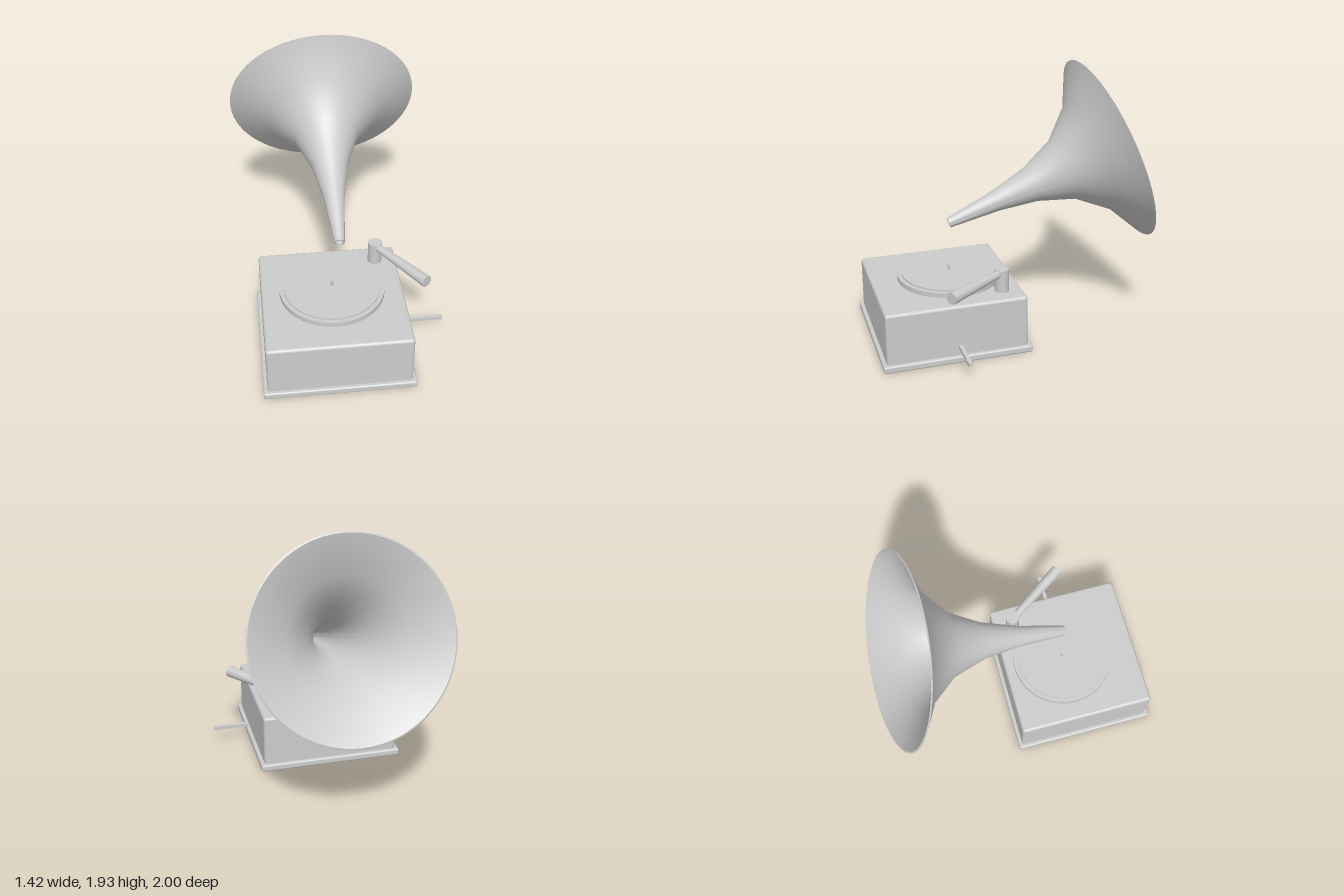
import * as THREE from 'three';
import { toCreasedNormals } from 'three/addons/utils/BufferGeometryUtils.js';
import { RoundedBoxGeometry } from 'three/addons/geometries/RoundedBoxGeometry.js';

export function createModel() {
  const model = new THREE.Group();
  const grey = new THREE.MeshStandardMaterial({ color: 0xcccccc });
  grey.name = 'plain grey';

  function add(name, geometry, x, y, z) {
    const mesh = new THREE.Mesh(geometry, grey);
    mesh.name = name;
    mesh.position.set(x, y, z);
    model.add(mesh);
    return mesh;
  }

  // upright disc or post standing on a given height
  function post(name, radius, bottom, top, x, z, sides = 64) {
    const h = top - bottom;
    return add(name, new THREE.CylinderGeometry(radius, radius, h, sides), x, bottom + h / 2, z);
  }

  // cabinet
  const cx = -0.082, cz = 0.475;
  add('plinth', new RoundedBoxGeometry(1.05, 0.05, 1.05, 3, 0.013), cx, 0.025, cz);
  add('cabinet', new RoundedBoxGeometry(0.996, 0.4, 0.996, 4, 0.022), cx, 0.22, cz);

  // turntable
  const tx = -0.083, tz = 0.416;
  post('platter', 0.369, 0.41, 0.456, tx, tz);
  post('record', 0.339, 0.45, 0.467, tx, tz);
  post('spindle', 0.01, 0.46, 0.506, tx, tz, 16);

  // tone arm: post and a tapered tube widening towards its free end
  post('armPost', 0.05, 0.41, 0.583, 0.262, 0.122, 32);
  const from = new THREE.Vector3(0.262, 0.554, 0.122);
  const to = new THREE.Vector3(0.56, 0.557, 0.555);
  const span = to.clone().sub(from);
  const mid = from.clone().add(to).multiplyScalar(0.5);
  const arm = add('toneArm', new THREE.CylinderGeometry(0.043, 0.026, span.length(), 32), mid.x, mid.y, mid.z);
  arm.quaternion.setFromUnitVectors(new THREE.Vector3(0, 1, 0), span.normalize());

  // crank rod
  add('crank', new THREE.BoxGeometry(0.26, 0.027, 0.027), 0.579, 0.132, 0.471);

  // hollow flared horn: [radius, distance along the axis]
  const outer = [[0.036, 0], [0.075, 0.37], [0.129, 0.642], [0.229, 0.895], [0.42, 1.113], [0.684, 1.262]];
  const inner = [[0.672, 1.268], [0.408, 1.121], [0.218, 0.902], [0.119, 0.646], [0.066, 0.371], [0.026, 0]];
  const profile = [...outer, ...inner, outer[0]].map(([r, t]) => new THREE.Vector2(r, t));
  const horn = add('horn', toCreasedNormals(new THREE.LatheGeometry(profile, 96), 0.6), -0.03, 0.849, 0.421);
  horn.quaternion.setFromUnitVectors(
    new THREE.Vector3(0, 1, 0), new THREE.Vector3(0, 0.345, -0.939).normalize());

  return model;
}
